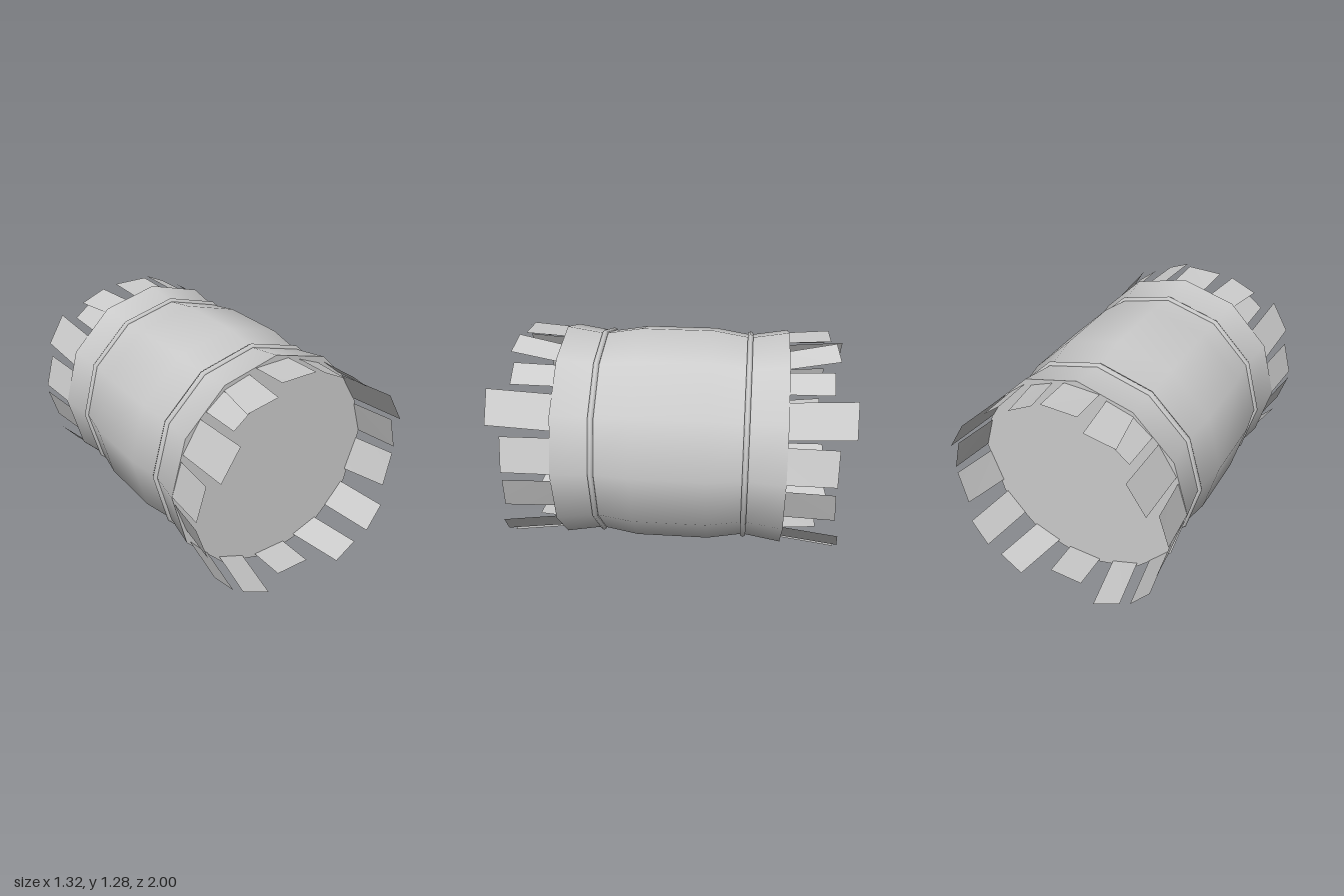
import * as THREE from 'three';

const SIDES = 12, RADIUS = 0.64, HALF = 0.64, CENTER_Y = 0.643;

// One flap each: tip edge (x1, y1, x2, y2), edge at the rim (x1, y1, x2, y2), tip depths (z1, z2)
const MIRRORED_FLAPS = [
  [0.32, 1.17, 0.43, 1.083, 0.325, 1.165, 0.43, 1.08, 0.88, 0.88],
  [0.475, 1.073, 0.58, 0.9, 0.465, 1.05, 0.57, 0.877, 1, 0.995],
  [0.606, 0.85, 0.66, 0.658, 0.58, 0.84, 0.638, 0.647, 0.91, 0.905],
  [0.66, 0.612, 0.6, 0.424, 0.624, 0.6, 0.555, 0.406, 0.9, 0.915],
  [0.578, 0.31, 0.468, 0.183, 0.535, 0.325, 0.422, 0.197, 0.94, 0.955],
  [0.241, 0.069, 0.394, 0.126, 0.184, 0.076, 0.344, 0.137, 0.965, 0.94],
];
const SINGLE_FLAPS = [
  [-0.142, 1.257, 0.07, 1.261, -0.13, 1.243, 0.078, 1.25, 0.87, 0.87],
  [0.1, 1.26, 0.23, 1.2, 0.15, 1.225, 0.285, 1.17, 0.9, 0.92],
  [-0.37, 1.165, -0.205, 1.22, -0.325, 1.17, -0.17, 1.218, 0.9, 0.925],
  [-0.1, 0.062, 0.103, 0.069, -0.095, 0.048, 0.11, 0.055, 0.865, 0.865],
];

// Thin quad running from the rim plane out to its tip
function flapGeometry([tx1, ty1, tx2, ty2, bx1, by1, bx2, by2, z1, z2], sx, sz) {
  const geo = new THREE.BufferGeometry();
  geo.setAttribute('position', new THREE.Float32BufferAttribute([
    sx * bx1, by1, sz * HALF, sx * bx2, by2, sz * HALF,
    sx * tx2, ty2, sz * z2, sx * tx1, ty1, sz * z1,
  ], 3));
  // Keep the front side facing outwards in every mirrored copy
  geo.setIndex(sx * sz > 0 ? [0, 2, 1, 0, 3, 2] : [0, 1, 2, 0, 2, 3]);
  geo.computeVertexNormals();
  return geo;
}

export function createModel() {
  const model = new THREE.Group();
  const material = new THREE.MeshStandardMaterial({ color: 0xcccccc });
  const thin = new THREE.MeshStandardMaterial({ color: 0xcccccc, side: THREE.DoubleSide });
  const add = (name, geometry, mat = material, parent = model) => {
    const mesh = new THREE.Mesh(geometry, mat);
    mesh.name = name;
    parent.add(mesh);
    return mesh;
  };

  // Wrapper body, pinched under the two ties
  const profile = [[RADIUS, -HALF], [0.605, -0.42], [RADIUS, -0.21],
    [RADIUS, 0.21], [0.605, 0.42], [RADIUS, HALF]].map(([r, z]) => new THREE.Vector2(r, z));
  add('body', new THREE.LatheGeometry(profile, SIDES).rotateX(Math.PI / 2)).position.y = CENTER_Y;

  for (const [end, s] of [['front', 1], ['back', -1]]) {
    // Flat end
    const cap = add(end + 'Cap', new THREE.CircleGeometry(RADIUS, SIDES));
    cap.position.set(0, CENTER_Y, s * HALF);
    if (s < 0) cap.rotation.y = Math.PI;

    // Tie around the pinch
    add(end + 'Tie', new THREE.TorusGeometry(0.607, 0.018, 6, SIDES))
      .position.set(0, CENTER_Y, s * 0.42);

    // Fringe of loose flaps
    const fringe = new THREE.Group();
    fringe.name = end + 'Fringe';
    model.add(fringe);
    for (const flap of MIRRORED_FLAPS) {
      for (const sx of [1, -1]) {
        // The upper left corner is covered by its own wide flap
        add('flap', flapGeometry(flap, sx, s), thin, fringe);
      }
    }
    for (const flap of SINGLE_FLAPS) add('flap', flapGeometry(flap, 1, s), thin, fringe);
  }
  return model;
}
